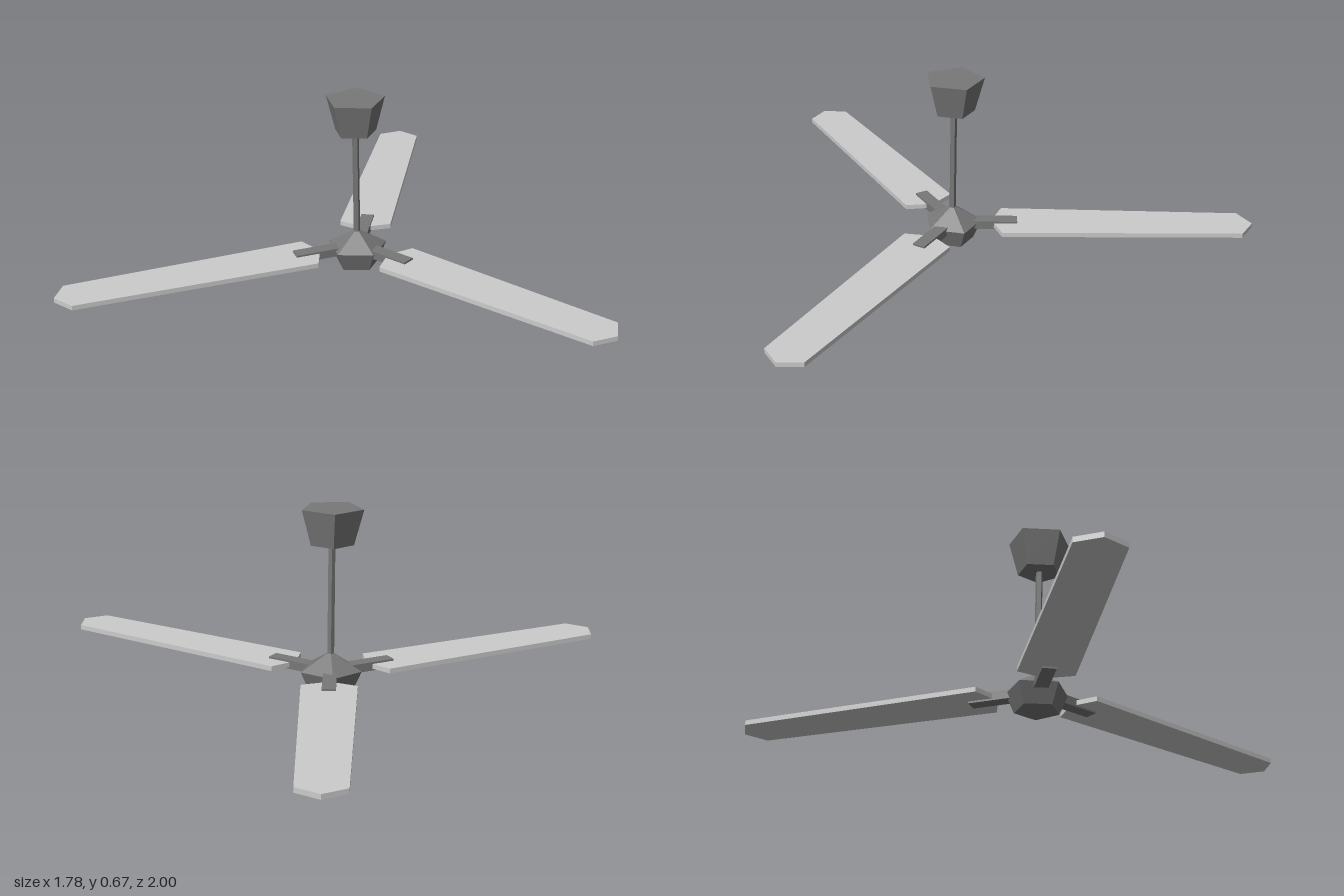
import * as THREE from 'three';

const dark = new THREE.MeshStandardMaterial({ color: 0x787878, flatShading: true });
const light = new THREE.MeshStandardMaterial({ color: 0xcccccc, flatShading: true });

// Five-sided tapered solid from y0 to y1
function frustum(name, rTop, rBottom, y0, y1, open = false) {
  const geo = new THREE.CylinderGeometry(rTop, rBottom, y1 - y0, 5, 1, open);
  const mesh = new THREE.Mesh(geo, dark);
  mesh.position.y = (y0 + y1) / 2;
  mesh.name = name;
  return mesh;
}

// Flat blade with pointed ends, slightly tapering outwards
function bladeGeometry() {
  const shape = new THREE.Shape([
    [0.15, 0], [0.19, -0.1], [1.105, -0.082], [1.153, 0], [1.105, 0.082], [0.19, 0.1],
  ].map(([x, y]) => new THREE.Vector2(x, y)));
  const geo = new THREE.ExtrudeGeometry(shape, { depth: 0.018, bevelEnabled: false });
  return geo.rotateX(-Math.PI / 2).translate(0, 0.06, 0);
}

export function createModel() {
  const fan = new THREE.Group();
  fan.name = 'ceilingFan';

  // Ceiling canopy, rod and motor housing
  fan.add(
    frustum('canopy', 0.115, 0.08, 0.54, 0.67),
    frustum('rod', 0.013, 0.013, 0.12, 0.55, true),
    frustum('housingLower', 0.115, 0.083, 0, 0.075),
    frustum('housingUpper', 0.013, 0.115, 0.075, 0.136),
  );

  // Three arms, each with a bracket holding a blade
  const bladeGeo = bladeGeometry();
  const bracketGeo = new THREE.BoxGeometry(0.2, 0.032, 0.05).translate(0.15, 0.069, 0);
  for (let i = 0; i < 3; i++) {
    const arm = new THREE.Group();
    arm.name = 'arm' + (i + 1);
    const blade = new THREE.Mesh(bladeGeo, light);
    blade.name = 'blade';
    const bracket = new THREE.Mesh(bracketGeo, dark);
    bracket.name = 'bracket';
    arm.add(blade, bracket);
    arm.rotation.y = (i * Math.PI * 2) / 3;
    fan.add(arm);
  }

  // Centre the blade span on the origin
  fan.position.x = -0.268;
  const model = new THREE.Group();
  model.add(fan);
  return model;
}
